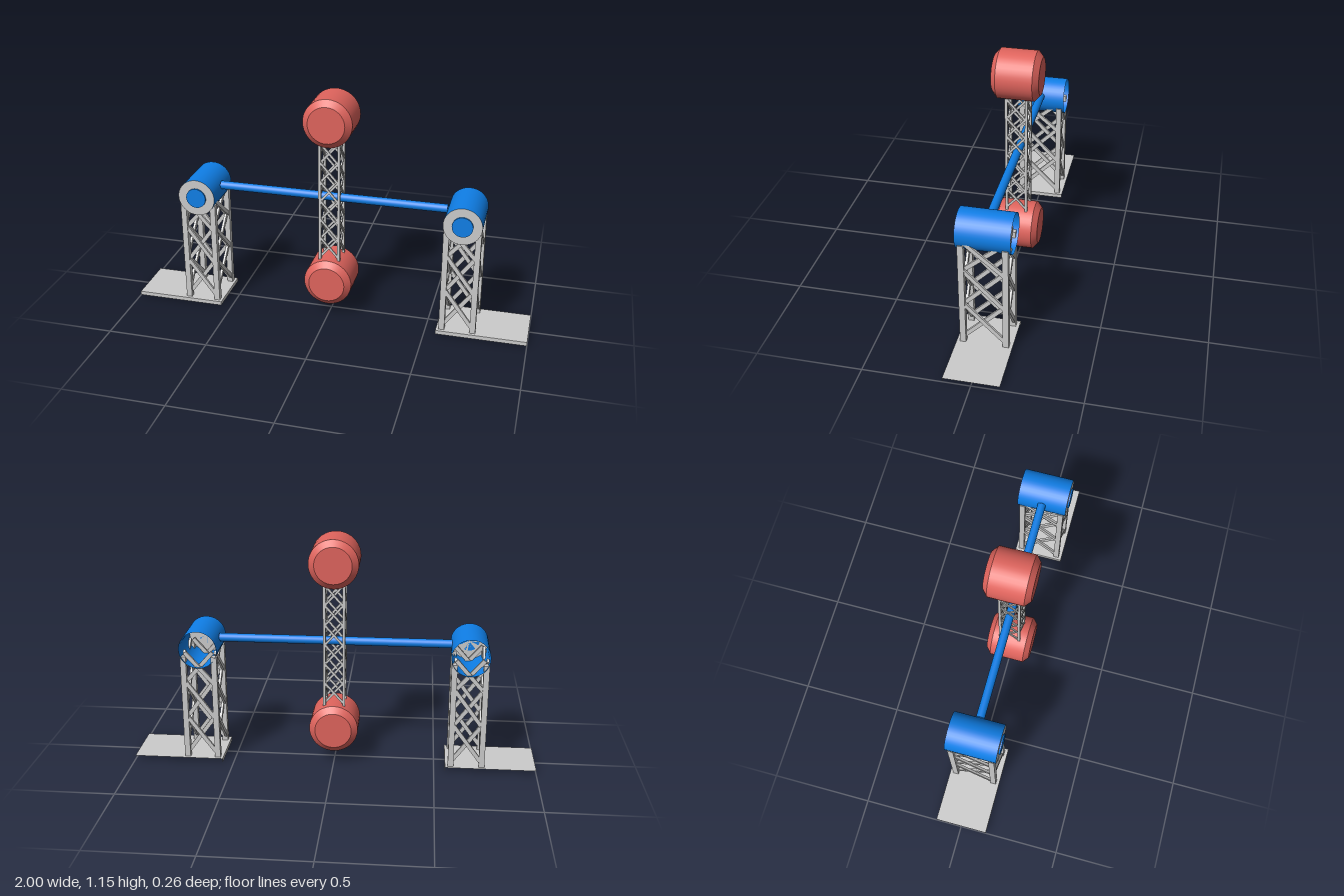
import * as THREE from 'three';

export function createModel() {
  const steel = new THREE.MeshStandardMaterial({ color: 0xcccccc, side: THREE.DoubleSide });
  steel.name = 'light grey steel';
  const blue = new THREE.MeshStandardMaterial({ color: 0x0f7fe8, side: THREE.DoubleSide });
  blue.name = 'blue paint';
  const red = new THREE.MeshStandardMaterial({ color: 0xe0645d });
  red.name = 'red paint';

  const model = new THREE.Group();
  model.name = 'rotatingArmRide';

  function add(parent, name, geometry, material, x = 0, y = 0, z = 0) {
    const mesh = new THREE.Mesh(geometry, material);
    mesh.name = name;
    mesh.position.set(x, y, z);
    parent.add(mesh);
    return mesh;
  }

  // Square lattice truss: four corner posts and crossed braces on all four sides
  function lattice(name, { halfX, halfZ, post, brace, bottom, top, levels }) {
    const group = new THREE.Group();
    group.name = name;
    const px = halfX - post / 2, pz = halfZ - post / 2;
    for (const sx of [-1, 1]) for (const sz of [-1, 1]) {
      add(group, 'cornerPost', new THREE.BoxGeometry(post, top - bottom, post),
        steel, sx * px, (top + bottom) / 2, sz * pz);
    }
    for (let i = 0; i < levels.length - 1; i++) {
      const h = levels[i + 1] - levels[i], y = (levels[i + 1] + levels[i]) / 2;
      for (const s of [-1, 1]) for (const d of [-1, 1]) {
        const wx = 2 * px - post * 0.6, wz = 2 * pz - post * 0.6;
        const f = add(group, 'frontBrace', new THREE.BoxGeometry(brace, Math.hypot(wx, h), brace * 0.6),
          steel, 0, y, s * pz + d * brace * 0.25);
        f.rotation.z = d * Math.atan2(wx, h);
        const r = add(group, 'sideBrace', new THREE.BoxGeometry(brace * 0.6, Math.hypot(wz, h), brace),
          steel, s * px + d * brace * 0.25, y, 0);
        r.rotation.x = d * Math.atan2(wz, h);
      }
    }
    return group;
  }

  // Support towers, each with a hollow hub drum and an outward base plate
  for (const side of [-1, 1]) {
    const tower = lattice(side > 0 ? 'leftTower' : 'rightTower', {
      halfX: 0.09, halfZ: 0.114, post: 0.028, brace: 0.02,
      bottom: 0.012, top: 0.555, levels: [0.05, 0.235, 0.42, 0.575],
    });
    tower.position.x = side * 0.658;
    model.add(tower);

    const hub = new THREE.Group();
    hub.name = 'hub';
    hub.position.set(side * 0.658, 0.594, 0);
    model.add(hub);
    add(hub, 'hubShell', new THREE.CylinderGeometry(0.093, 0.093, 0.25, 40, 1, true).rotateX(Math.PI / 2), blue);
    add(hub, 'hubFace', new THREE.CircleGeometry(0.093, 40), steel, 0, 0, 0.125);
    add(hub, 'hubCap', new THREE.CylinderGeometry(0.05, 0.05, 0.008, 32).rotateX(Math.PI / 2), blue, 0, 0, 0.129);

    // Base sheet with folded lips on the front and inner edges
    const base = new THREE.Group();
    base.name = 'basePlate';
    model.add(base);
    add(base, 'baseSheet', new THREE.PlaneGeometry(0.445, 0.26).rotateX(-Math.PI / 2), steel, side * 0.7775, 0.02, 0);
    add(base, 'frontLip', new THREE.PlaneGeometry(0.445, 0.02), steel, side * 0.7775, 0.01, 0.13);
    add(base, 'innerLip', new THREE.PlaneGeometry(0.26, 0.02).rotateY(-side * Math.PI / 2), steel, side * 0.555, 0.01, 0);
  }

  // Axle between the hubs
  add(model, 'axle', new THREE.CylinderGeometry(0.021, 0.021, 1.14, 24).rotateZ(Math.PI / 2), blue, 0, 0.622, 0);

  // Swinging arm
  model.add(lattice('swingArm', {
    halfX: 0.054, halfZ: 0.055, post: 0.013, brace: 0.011,
    bottom: 0.29, top: 0.922, levels: [0.315, 0.415, 0.515, 0.615, 0.715, 0.815, 0.915],
  }));

  // Cabins with bevelled ends at both tips of the arm
  for (const [name, y] of [['upperCabin', 1.028], ['lowerCabin', 0.188]]) {
    const cabin = new THREE.Group();
    cabin.name = name;
    cabin.position.y = y;
    model.add(cabin);
    add(cabin, 'cabinBody', new THREE.CylinderGeometry(0.12, 0.12, 0.174, 40, 1, true).rotateX(Math.PI / 2), red);
    for (const s of [-1, 1]) {
      add(cabin, 'cabinEnd', new THREE.CylinderGeometry(0.09, 0.12, 0.026, 40).rotateX(s * Math.PI / 2), red, 0, 0, s * 0.1);
    }
  }
  return model;
}
